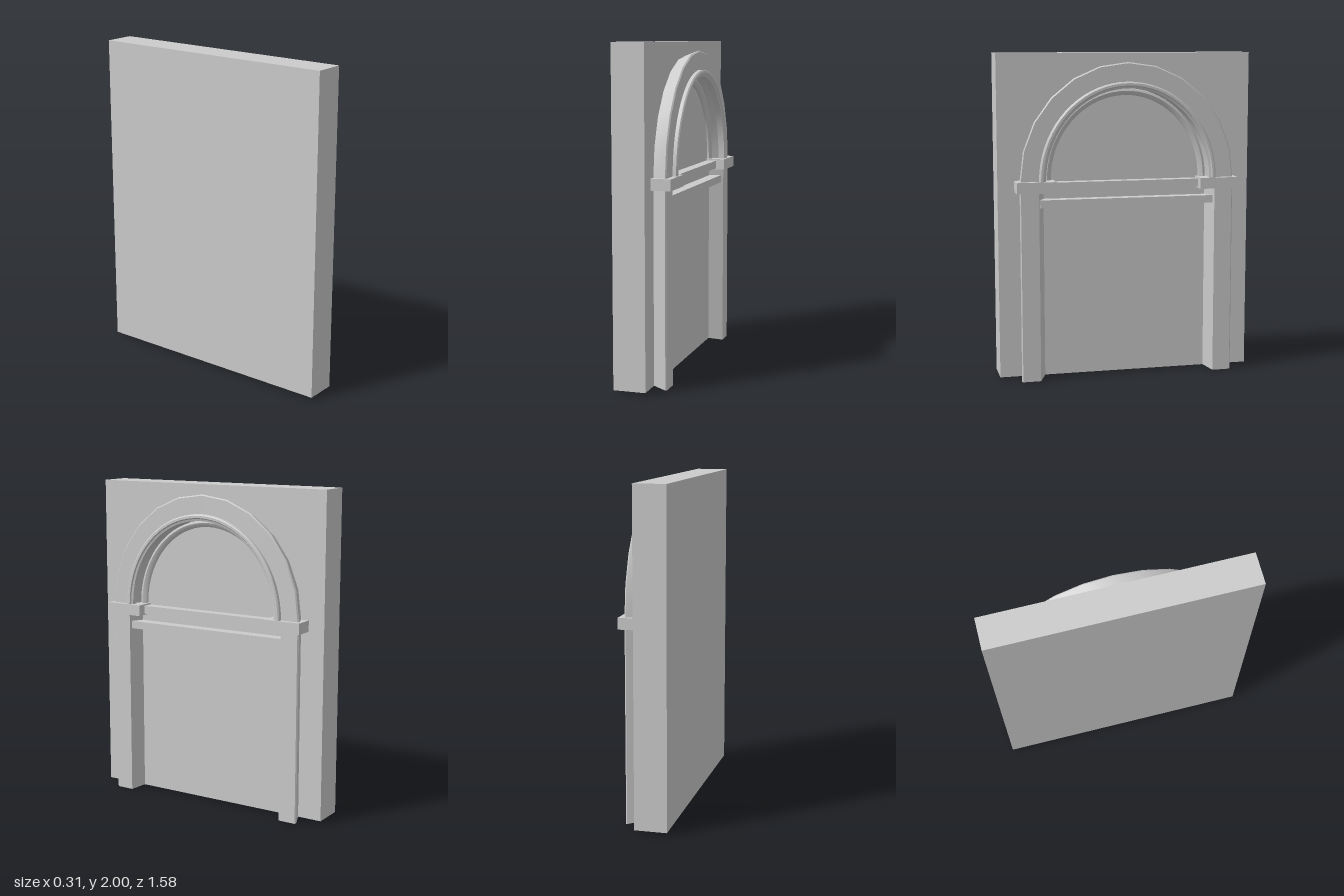
import * as THREE from 'three';
import { toCreasedNormals } from 'three/addons/utils/BufferGeometryUtils.js';

const material = new THREE.MeshStandardMaterial({ color: 0xcccccc });
const WALL_X = 0.035; // front plane of the wall slab
const SPRING_Y = 1.235; // height where the arches spring
const RISE = 0.043; // extra height of each arch over its half width

function addMesh(group, name, geometry) {
  const mesh = new THREE.Mesh(geometry, material);
  mesh.name = name;
  group.add(mesh);
}

// Box given by its limits
function addBox(group, name, [x0, x1], [y0, y1], [z0, z1]) {
  const g = new THREE.BoxGeometry(x1 - x0, y1 - y0, z1 - z0);
  g.translate((x0 + x1) / 2, (y0 + y1) / 2, (z0 + z1) / 2);
  addMesh(group, name, g);
}

// Solid skin over a row of equal closed rings, with both ends closed
function loft(rings) {
  const n = rings[0].length;
  const index = [];
  for (let k = 0; k < rings.length - 1; k++) {
    for (let i = 0; i < n; i++) {
      const a = k * n + i, b = k * n + ((i + 1) % n);
      index.push(a, b, b + n, a, b + n, a + n);
    }
  }
  const last = (rings.length - 1) * n;
  for (let i = 1; i < n - 1; i++) {
    index.push(0, i + 1, i, last, last + i, last + i + 1);
  }
  const g = new THREE.BufferGeometry();
  g.setAttribute('position', new THREE.Float32BufferAttribute(rings.flat(2), 3));
  g.setIndex(index);
  return toCreasedNormals(g, 0.4);
}

// Sweep an (x, radius) profile over the half round, from +z to -z
function archGeometry(profile, segments) {
  const rings = [];
  for (let k = 0; k <= segments; k++) {
    const t = (Math.PI * k) / segments;
    rings.push(profile.map(([x, r]) => [x, SPRING_Y + (r + RISE) * Math.sin(t), r * Math.cos(t)]));
  }
  return loft(rings);
}

export function createModel() {
  const group = new THREE.Group();
  group.name = 'archedDoorway';

  addBox(group, 'wall', [-0.16, WALL_X], [0.015, 2], [-0.79, 0.79]);

  // Splayed band shared by the pilasters and the outer arch
  const band = [[WALL_X, 0.637], [0.114, 0.667], [0.122, 0.66], [0.122, 0.55], [WALL_X, 0.51]];
  addMesh(group, 'outerArch', archGeometry(band, 12));

  // Raised moulding on the inner edge of the arch
  addMesh(group, 'archMoulding', archGeometry([
    [0.1, 0.55], [0.143, 0.55], [0.15, 0.542], [0.15, 0.528], [0.142, 0.522], [0.138, 0.51], [0.1, 0.51],
  ], 36));

  // Flat moulding against the wall, inside the reveal
  addMesh(group, 'innerMoulding', archGeometry([
    [WALL_X, 0.508], [0.058, 0.505], [0.062, 0.492], [0.054, 0.474], [0.046, 0.466], [WALL_X, 0.466],
  ], 36));

  for (const side of [1, -1]) {
    const label = side > 0 ? 'left' : 'right';
    // Pilaster whose foot drops slightly towards the front
    const foot = band.map(([x, r]) => [x, 0.015 * (0.122 - x) / (0.122 - WALL_X), side * r]);
    const head = band.map(([x, r]) => [x, 1.18, side * r]);
    addMesh(group, label + 'Pilaster', loft(side > 0 ? [foot, head] : [head, foot]));
    const z = [side * 0.45, side * 0.688].sort((a, b) => a - b);
    addBox(group, label + 'Capital', [WALL_X, 0.155], [1.167, SPRING_Y], z);
  }

  // Cross bars above the opening
  addBox(group, 'upperCrossBar', [WALL_X, 0.1], [1.175, 1.225], [-0.455, 0.455]);
  addBox(group, 'lowerCrossBar', [WALL_X, 0.108], [1.073, 1.12], [-0.542, 0.542]);

  return group;
}
